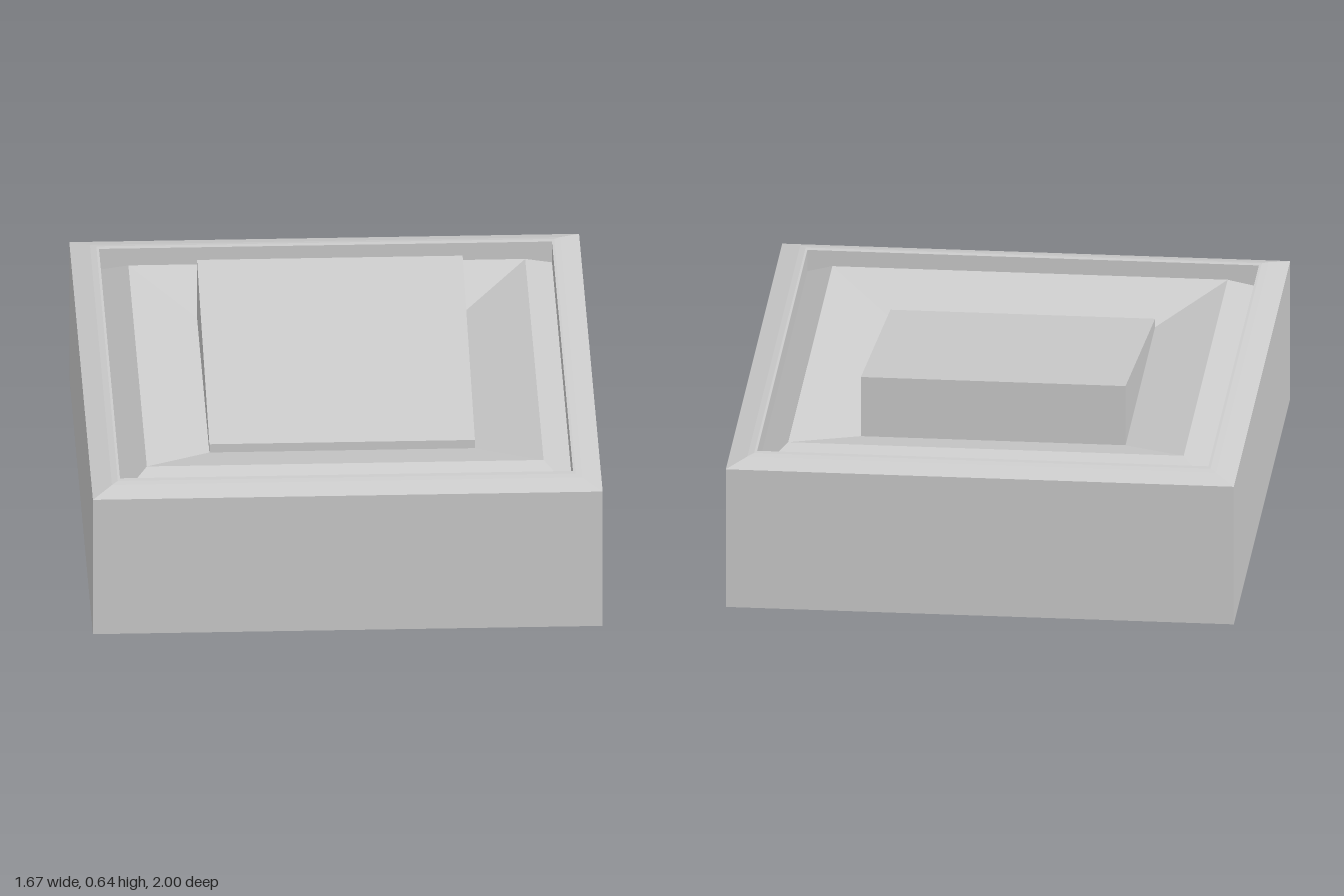
import * as THREE from 'three';

const material = new THREE.MeshStandardMaterial({ color: 0xcccccc, side: THREE.DoubleSide, flatShading: true });

// Corners of a rectangle, counter-clockwise seen from above; y may depend on z
function ring([hx, hz, y]) {
  const height = typeof y === 'function' ? y : () => y;
  return [[hx, hz], [hx, -hz], [-hx, -hz], [-hx, hz]].map(([x, z]) => [x, height(z), z]);
}

// Skin through a series of rectangles [halfWidth, halfDepth, y], optionally capped on top
function loft(name, sections, capped = false) {
  const positions = [];
  const quad = (a, b, c, d) => positions.push(...a, ...b, ...c, ...a, ...c, ...d);
  const rings = sections.map(ring);
  for (let s = 0; s < rings.length - 1; s++) {
    for (let i = 0; i < 4; i++) {
      const j = (i + 1) % 4;
      quad(rings[s][i], rings[s][j], rings[s + 1][j], rings[s + 1][i]);
    }
  }
  if (capped) quad(...rings[rings.length - 1]);
  const geometry = new THREE.BufferGeometry();
  geometry.setAttribute('position', new THREE.Float32BufferAttribute(positions, 3));
  geometry.computeVertexNormals();
  const mesh = new THREE.Mesh(geometry, material);
  mesh.name = name;
  return mesh;
}

export function createModel() {
  const group = new THREE.Group();
  group.name = 'rockerSwitch';

  // Open-bottomed outer walls
  group.add(loft('housing', [[0.835, 1, 0], [0.835, 1, 0.485]]));

  // Softly bevelled rim with a vertical inner lip
  group.add(loft('rim', [
    [0.835, 1, 0.485], [0.77, 0.932, 0.506], [0.75, 0.91, 0.51],
    [0.742, 0.89, 0.51], [0.742, 0.89, 0.435],
  ]));

  // Groove rising to a ridge, then sloping down to the button opening
  group.add(loft('bezel', [[0.742, 0.89, 0.435], [0.65, 0.78, 0.5], [0.435, 0.523, 0.427]]));

  // Hollow tilted button, high at the back
  const tilt = (z) => 0.546 - 0.171 * z;
  group.add(loft('rocker', [[0.435, 0.523, 0.427], [0.435, 0.523, tilt]], true));

  return group;
}
